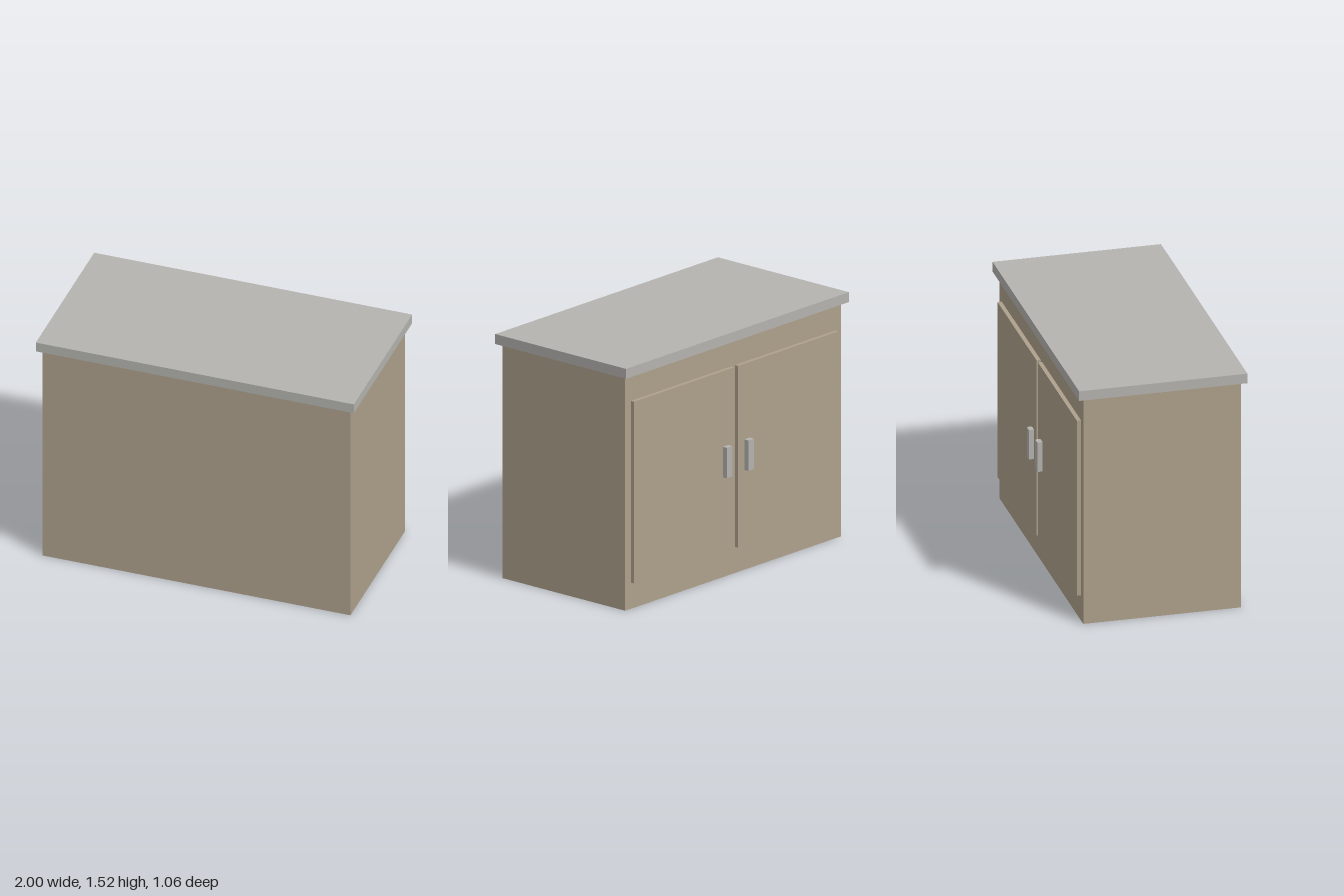
import * as THREE from 'three';

export function createModel() {
  const cabinet = new THREE.Group();
  cabinet.name = 'cabinet';

  const wood = new THREE.MeshStandardMaterial({ color: 0xaea08b });
  wood.name = 'beige wood';
  const grey = new THREE.MeshStandardMaterial({ color: 0xb4b3af });
  grey.name = 'light grey';

  // Box given by its min and max corners
  function addBox(name, material, [x0, y0, z0], [x1, y1, z1]) {
    const mesh = new THREE.Mesh(new THREE.BoxGeometry(x1 - x0, y1 - y0, z1 - z0), material);
    mesh.position.set((x0 + x1) / 2, (y0 + y1) / 2, (z0 + z1) / 2);
    mesh.name = name;
    cabinet.add(mesh);
  }

  // Carcass and overhanging worktop
  addBox('body', wood, [-0.968, 0, -0.47], [0.968, 1.457, 0.498]);
  addBox('worktop', grey, [-1, 1.457, -0.505], [1, 1.519, 0.528]);

  // Mirrored pair of doors with handles, on the -z side
  for (const [side, s] of [['left', 1], ['right', -1]]) {
    const span = (a, b) => (s > 0 ? [a, b] : [-b, -a]);
    const [d0, d1] = span(0.016, 0.917);
    addBox(side + 'Door', wood, [d0, 0.163, -0.496], [d1, 1.293, -0.47]);
    const [h0, h1] = span(0.072, 0.121);
    addBox(side + 'Handle', grey, [h0, 0.633, -0.528], [h1, 0.823, -0.496]);
  }

  return cabinet;
}
